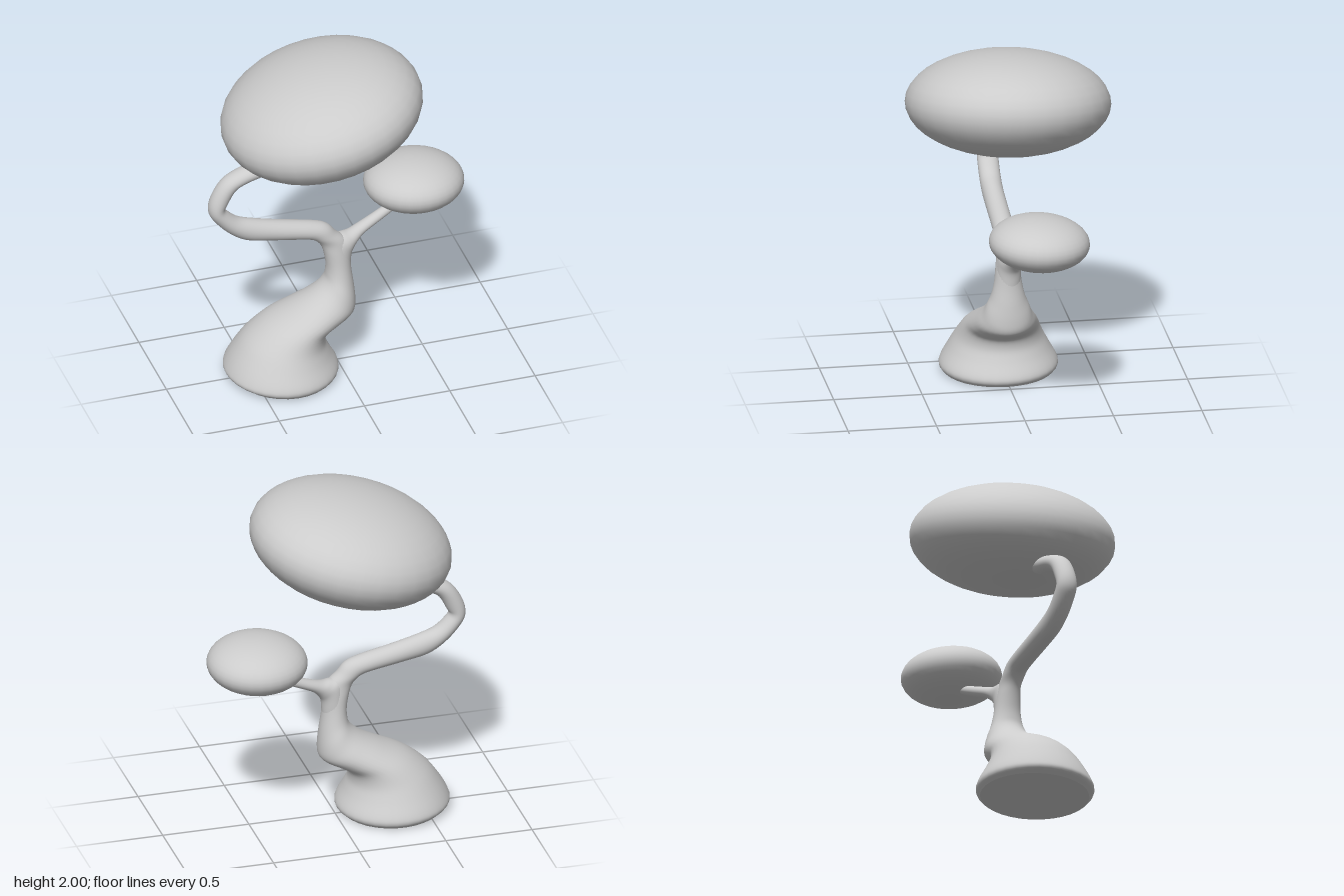
import * as THREE from 'three';

const material = new THREE.MeshStandardMaterial({ color: 0xcccccc });

// Smooth loft through elliptical rings.
// Each ring: [leftX, leftY, rightX, rightY, halfDepth, centreZ], left seen along the direction of growth.
function limb(name, rings, steps = 5, sides = 32) {
  const curve = (f) => new THREE.CatmullRomCurve3(rings.map(f), false, 'catmullrom', 0.5);
  const left = curve((r) => new THREE.Vector3(r[0], r[1], r[5]));
  const right = curve((r) => new THREE.Vector3(r[2], r[3], r[5]));
  const depth = curve((r) => new THREE.Vector3(r[4], 0, 0));
  const n = (rings.length - 1) * steps;
  const pos = [], index = [];
  for (let i = 0; i <= n; i++) {
    const a = left.getPoint(i / n), b = right.getPoint(i / n), d = depth.getPoint(i / n).x;
    const mid = a.clone().add(b).multiplyScalar(0.5);
    const half = a.clone().sub(b).multiplyScalar(0.5);
    for (let j = 0; j < sides; j++) {
      const t = (j / sides) * Math.PI * 2;
      const p = mid.clone().addScaledVector(half, Math.cos(t));
      pos.push(p.x, p.y, p.z + d * Math.sin(t));
      if (i < n) {
        const k = (j + 1) % sides, u = i * sides, v = u + sides;
        index.push(u + j, u + k, v + j, u + k, v + k, v + j);
      }
    }
  }
  // Flat cap under the first ring, with its own vertices for a crisp rim
  const base = pos.length / 3;
  pos.push(...pos.slice(0, sides * 3));
  const r = rings[0];
  pos.push((r[0] + r[2]) / 2, (r[1] + r[3]) / 2, r[5]);
  for (let j = 0; j < sides; j++) index.push(base + sides, base + (j + 1) % sides, base + j);

  const g = new THREE.BufferGeometry();
  g.setAttribute('position', new THREE.Float32BufferAttribute(pos, 3));
  g.setIndex(index);
  g.computeVertexNormals();
  const mesh = new THREE.Mesh(g, material);
  mesh.name = name;
  return mesh;
}

// Flattened, slightly tilted ball of foliage
function foliage(name, [x, y, z], [rx, ry, rz], tiltX, tiltZ) {
  const mesh = new THREE.Mesh(new THREE.SphereGeometry(1, 32, 20), material);
  mesh.name = name;
  mesh.position.set(x, y, z);
  mesh.scale.set(rx, ry, rz);
  mesh.rotation.set(tiltX, 0, tiltZ);
  return mesh;
}

export function createModel() {
  const tree = new THREE.Group();
  tree.name = 'bonsaiTree';

  // Flared foot and leaning trunk up to the fork
  const trunk = [
    [-0.62, 0.015, -0.04, 0.0, 0.31],
    [-0.655, 0.045, -0.016, 0.025, 0.332],
    [-0.648, 0.085, -0.018, 0.06, 0.328],
    [-0.6, 0.17, -0.06, 0.135, 0.285],
    [-0.53, 0.26, -0.085, 0.2, 0.245],
    [-0.42, 0.345, -0.072, 0.262, 0.215],
    [-0.28, 0.415, -0.01, 0.3, 0.19],
    [-0.18, 0.47, 0.06, 0.335, 0.165],
    [-0.115, 0.52, 0.09, 0.37, 0.14],
    [-0.08, 0.565, 0.095, 0.43, 0.12],
    [-0.07, 0.61, 0.088, 0.52, 0.095],
    [-0.07, 0.67, 0.075, 0.62, 0.078],
    [-0.085, 0.75, 0.068, 0.72, 0.068],
  ];
  // Long hooked branch, of even depth, carrying the trunk on to the crown
  const hook = [
    [-0.105, 0.8, 0.05, 0.81],
    [-0.14, 0.838, -0.012, 0.87],
    [-0.18, 0.855, -0.06, 0.925],
    [-0.25, 0.868, -0.14, 0.957],
    [-0.4, 0.893, -0.35, 1.005],
    [-0.54, 0.922, -0.5, 1.045],
    [-0.64, 0.985, -0.585, 1.075],
    [-0.72, 1.07, -0.645, 1.125],
    [-0.757, 1.14, -0.664, 1.155],
    [-0.745, 1.225, -0.65, 1.185],
    [-0.685, 1.325, -0.605, 1.265],
    [-0.6, 1.38, -0.54, 1.305],
    [-0.45, 1.435, -0.4, 1.347],
    [-0.3, 1.51, -0.26, 1.42],
  ].map((r) => [...r, 0.06]);
  tree.add(limb('trunkAndMainBranch', [...trunk, ...hook].map((r) => [...r, 0.015])));

  // Thin side branch leaving the fork
  tree.add(limb('sideBranch', [
    [-0.06, 0.72, 0.073, 0.64, 0.068, 0.012],
    [-0.04, 0.83, 0.078, 0.7, 0.066, 0.01],
    [0.02, 0.842, 0.09, 0.735, 0.06, 0.004],
    [0.07, 0.842, 0.12, 0.772, 0.05, -0.008],
    [0.13, 0.86, 0.165, 0.805, 0.04, -0.025],
    [0.24, 0.905, 0.265, 0.853, 0.033, -0.045],
    [0.35, 0.952, 0.37, 0.905, 0.029, -0.067],
    [0.46, 1.01, 0.475, 0.975, 0.025, -0.085],
  ]));

  // Foliage pads
  tree.add(foliage('crown', [-0.09, 1.68, 0], [0.577, 0.302, 0.577], -0.048, 0.218));
  tree.add(foliage('sidePad', [0.477, 1.05, -0.085], [0.283, 0.149, 0.283], -0.05, 0));
  return tree;
}
